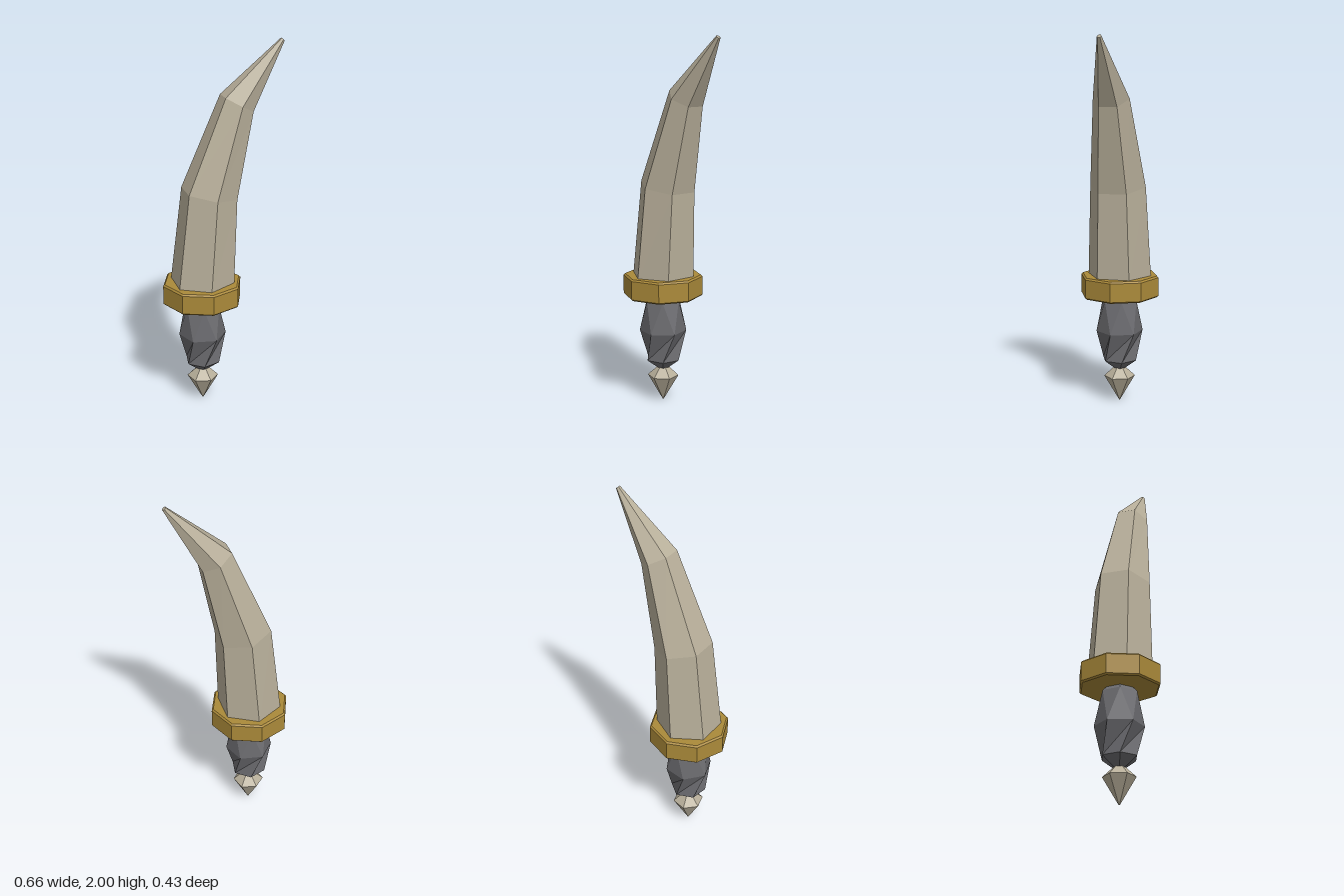
import * as THREE from 'three';

const AXIS = -0.117; // x position of the grip's centre line

// One polygonal ring; lean tips its +x side downwards.
function ring(cx, cy, r, sides, phase = 0, lean = 0) {
  const points = [];
  for (let i = 0; i < sides; i++) {
    const a = phase + (i / sides) * Math.PI * 2;
    const u = r * Math.cos(a);
    points.push(new THREE.Vector3(cx + u * Math.cos(lean), cy - u * Math.sin(lean), r * Math.sin(a)));
  }
  return points;
}

// Faceted closed skin through rings listed from bottom to top.
function loft(name, rings, material) {
  const pos = [];
  const tri = (a, b, c) => [a, b, c].forEach((p) => pos.push(p.x, p.y, p.z));
  const n = rings[0].length;
  const middle = (r) => r.reduce((s, p) => s.add(p), new THREE.Vector3()).divideScalar(n);
  const bottom = rings[0], top = rings[rings.length - 1];
  const bc = middle(bottom), tc = middle(top);
  for (let i = 0; i < n; i++) {
    const j = (i + 1) % n;
    for (let k = 0; k < rings.length - 1; k++) {
      const lo = rings[k], hi = rings[k + 1];
      tri(lo[i], hi[i], lo[j]);
      tri(lo[j], hi[i], hi[j]);
    }
    tri(bc, bottom[i], bottom[j]);
    tri(tc, top[j], top[i]);
  }
  const geometry = new THREE.BufferGeometry();
  geometry.setAttribute('position', new THREE.Float32BufferAttribute(pos, 3));
  geometry.computeVertexNormals();
  const mesh = new THREE.Mesh(geometry, material);
  mesh.name = name;
  return mesh;
}

export function createModel() {
  const mat = (name, color) => {
    const m = new THREE.MeshStandardMaterial({ color, flatShading: true });
    m.name = name;
    return m;
  };
  const bone = mat('bone', 0xb9b09b);
  const gold = mat('gold', 0xab8a3a);
  const grey = mat('dark grey', 0x6c6c70);
  const group = new THREE.Group();
  group.name = 'curved dagger';
  const deg = Math.PI / 180;

  // Curved six-sided blade: centre x, y, radius, lean
  const blade = [
    [AXIS, 0.69, 0.176, 0],
    [-0.075, 1.205, 0.153, 0.19],
    [0.075, 1.68, 0.098, 0.49],
    [0.32, 1.993, 0.012, 0.7],
  ].map(([x, y, r, lean]) => ring(x, y, r, 6, 30 * deg, lean));
  group.add(loft('blade', blade, bone));

  // Octagonal guard with slightly bevelled rims
  const guard = [[0.598, 0.208], [0.606, 0.217], [0.707, 0.217], [0.716, 0.208]]
    .map(([y, r]) => ring(AXIS, y, r, 8));
  group.add(loft('guard', guard, gold));

  // Faceted grip, its waist turned against the ends
  const grip = [
    [0.185, 0.03, 40], [0.237, 0.098, 40], [0.4, 0.128, 10], [0.575, 0.1, 40], [0.605, 0.068, 40],
  ].map(([y, r, turn]) => ring(AXIS, y, r, 6, turn * deg));
  group.add(loft('grip', grip, grey));

  // Pointed pommel
  const pommel = [[0, 0.003], [0.14, 0.085], [0.192, 0.028]]
    .map(([y, r]) => ring(AXIS, y, r, 6, 15 * deg));
  group.add(loft('pommel', pommel, bone));

  return group;
}
